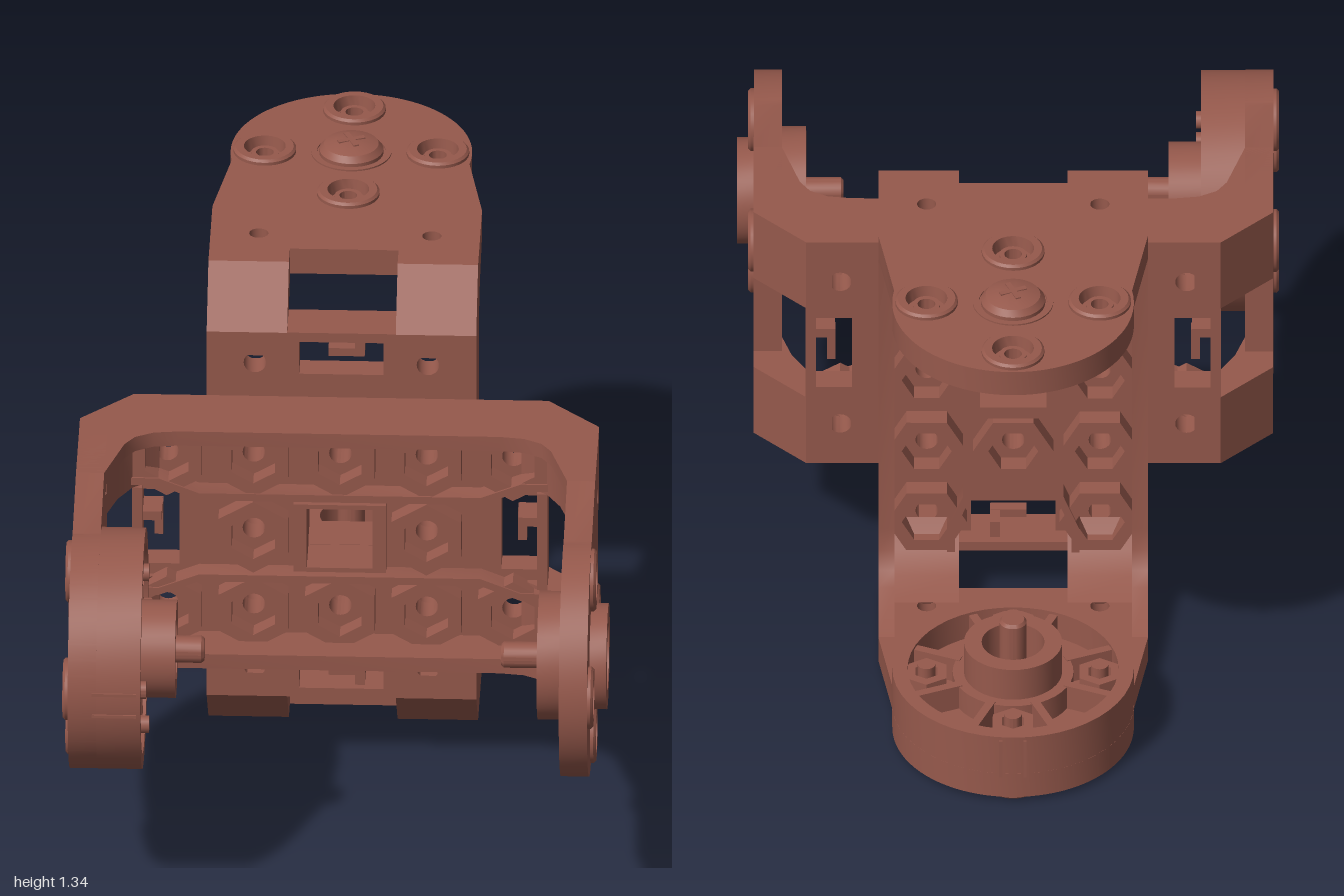
import * as THREE from 'three';
import { toCreasedNormals } from 'three/addons/utils/BufferGeometryUtils.js';

const mat = new THREE.MeshStandardMaterial({ color: 0x96594c, side: THREE.DoubleSide });
const TAU = Math.PI * 2;

function add(parent, name, geo) {
  const mesh = new THREE.Mesh(toCreasedNormals(geo, 0.5), mat);
  mesh.name = name;
  parent.add(mesh);
  return mesh;
}

const poly = (pts) => new THREE.Shape(pts.map(([x, y]) => new THREE.Vector2(x, y)));
const rect = (x0, x1, y0, y1) => poly([[x0, y0], [x1, y0], [x1, y1], [x0, y1]]);
function ngon(x, y, r, n, turn = 0) {
  return poly(Array.from({ length: n }, (_, i) => {
    const a = turn + (i / n) * TAU;
    return [x + r * Math.cos(a), y + r * Math.sin(a)];
  }));
}
const extrude = (shape, depth) => new THREE.ExtrudeGeometry(shape, { depth, bevelEnabled: false, curveSegments: 24 });

// Bracket axes: x across the span, y across the width, z along the arms.
// Profile in (x, z), extruded over the width from y0 to y1.
const alongY = (shape, y0, y1) => extrude(shape, y1 - y0).rotateX(Math.PI / 2).translate(0, y1, 0);
// Outline in (z, y), extruded over the span from x0 to x1.
const alongX = (shape, x0, x1) => extrude(shape, x1 - x0).rotateY(-Math.PI / 2).translate(x1, 0, 0);
// Turned part whose axis points outward along x, on the given side.
function turned(pts, side, x, y, z, n = 32) {
  const g = new THREE.LatheGeometry(pts.map(([r, h]) => new THREE.Vector2(r, h)), n);
  return g.rotateZ(-side * Math.PI / 2).translate(side * x, y, z);
}
const tube = (r0, r1, h0, h1) => [[r0, h0], [r1, h0], [r1, h1], [r0, h1], [r0, h0]];

const AX = 0.7;                    // distance of the pivot axis from the base
const OUT = 0.645, IN = 0.575;     // outer and inner faces of an arm
const W = 0.335;                   // half width
const P = 0.215;                   // hole pitch
const screwSpots = [[AX - P, 0], [AX + P, 0], [AX, P], [AX, -P]];

function buildBase(g) {
  // Floor with bolt holes, centre window and cable slots
  const floor = rect(-0.515, 0.515, -W, W);
  const bolts = [[-P, 0], [P, 0]];
  for (const s of [-1, 1]) for (let i = -2; i <= 2; i++) bolts.push([i * P, s * P]);
  for (const [x, y] of bolts) floor.holes.push(ngon(x, y, 0.028, 20));
  floor.holes.push(rect(-0.082, 0.082, -0.083, 0.083));
  for (const s of [-1, 1]) {
    const a = s > 0 ? 0.4 : -0.49;
    floor.holes.push(rect(a, a + 0.09, -0.105, 0.105));
  }
  add(g, 'baseFloor', extrude(floor, 0.07));

  // Hexagonal nut pockets
  for (const [x, y] of bolts) {
    const hex = ngon(x, y, 0.1, 6, Math.PI / 6);
    hex.holes.push(ngon(x, y, 0.062, 6, Math.PI / 6));
    add(g, 'nutPocket', extrude(hex, 0.055).translate(0, 0, 0.065));
  }

  // Frame around the centre window
  const frame = rect(-0.115, 0.115, -0.095, 0.095);
  frame.holes.push(rect(-0.082, 0.082, -0.083, 0.083));
  add(g, 'windowFrame', extrude(frame, 0.055).translate(0, 0, 0.065));

  for (const s of [-1, 1]) {
    // Rails beside the nut rows
    const line = [[-0.52, 0.165], [-0.45, 0.165], [-0.35, 0.125], [0.35, 0.125], [0.45, 0.165], [0.52, 0.165]];
    const rail = poly([...line.map(([x, y]) => [x, s * y]), ...line.reverse().map(([x, y]) => [x, s * (y - 0.02)])]);
    add(g, 'rail', extrude(rail, 0.06).translate(0, 0, 0.065));

    // Side rim following the U and fading into the arms
    const half = [[0.4, 0.19], [0.46, 0.198], [0.505, 0.222], [0.53, 0.26], [IN, 0.41], [OUT, 0.41], [OUT, 0.13], [0.515, 0]];
    const rim = poly([...half, ...half.map(([x, z]) => [-x, z]).reverse()]);
    add(g, 'sideRim', alongY(rim, s > 0 ? 0.295 : -W, s > 0 ? W : -0.295));

    // Chamfered corners, left open in the middle for the cable
    for (const t of [-1, 1]) {
      const corner = poly([[0.515, 0], [OUT, 0.13], [OUT, 0.2], [IN, 0.26], [0.55, 0.18], [0.515, 0.12], [0.45, 0.07], [0.45, 0]]
        .map(([x, z]) => [t * x, z]));
      add(g, 'corner', alongY(corner, s > 0 ? 0.135 : -0.3, s > 0 ? 0.3 : -0.135));
    }

    // Lip of the cable slot and its hook
    const lip = new THREE.BoxGeometry(0.026, 0.27, 0.12).translate(s * 0.503, 0, 0.06);
    add(g, 'slotLip', lip);
    add(g, 'cableHook', new THREE.BoxGeometry(0.05, 0.025, 0.08).translate(s * 0.468, 0.045, 0.06));
    add(g, 'cableHook', new THREE.BoxGeometry(0.022, 0.09, 0.03).translate(s * 0.452, 0.012, 0.035));
  }
}

function buildArm(g, side) {
  const arm = new THREE.Shape();
  const a = 1.745;
  arm.moveTo(0.198, -W);
  arm.lineTo(0.41, -W);
  arm.absarc(AX, 0, 0.3, -a, a, false);
  arm.lineTo(0.41, W);
  arm.lineTo(0.198, W);
  for (const [z, y] of screwSpots) arm.holes.push(ngon(z, y, 0.074, 28));
  for (const s of [-1, 1]) arm.holes.push(ngon(0.275, s * P, 0.024, 18));
  if (side < 0) arm.holes.push(ngon(AX, 0, 0.085, 28));
  add(g, 'arm', side > 0 ? alongX(arm, IN, OUT) : alongX(arm, -OUT, -IN));

  // Recessed screw sockets
  for (const [z, y] of screwSpots) {
    add(g, 'screwSocket', turned([[0.022, -0.069], [0.078, -0.069], [0.078, 0.008], [0.072, 0.014], [0.052, 0.014],
      [0.048, -0.02], [0.034, -0.02], [0.034, -0.004], [0.022, -0.004], [0.022, -0.069]], side, OUT, y, z));
  }
}

function buildPivot(g, hasCap) {
  // Hollow boss, pin and domed screw on the plain arm
  add(g, 'pivotBoss', turned(tube(0.115, 0.16, -0.06, 0.005), 1, IN, 0, AX, 40));
  add(g, 'pivotPin', turned([[0, -0.153], [0.026, -0.153], [0.033, -0.146], [0.033, 0.02]], 1, IN, 0, AX, 24));
  add(g, 'screwHead', turned([[0.08, -0.01], [0.08, 0.01], [0.068, 0.025], [0.04, 0.034], [0, 0.037]], 1, OUT, 0, AX));
  for (const r of [0.4, 0.4 + Math.PI / 2]) {
    add(g, 'screwCross', new THREE.BoxGeometry(0.012, 0.07, 0.014).rotateX(r).translate(OUT + 0.032, 0, AX));
  }
  if (hasCap) add(g, 'pivotCap', turned([...tube(0.085, 0.132, -0.005, 0.042)], 1, OUT, 0, AX, 40));
  else add(g, 'pivotCap', turned(tube(0.085, 0.1, -0.005, 0.004), 1, OUT, 0, AX, 40));
}

function buildCup(g) {
  // Round cup with outer wall, hub, ribs and screw posts on the other arm
  add(g, 'cupWall', turned(tube(0.262, 0.3, -0.18, -0.001), -1, OUT, 0, AX, 48));
  const floor = ngon(AX, 0, 0.27, 40);
  for (const [z, y] of screwSpots) floor.holes.push(ngon(z, y, 0.03, 16));
  floor.holes.push(ngon(AX, 0, 0.085, 28));
  add(g, 'cupFloor', alongX(floor, -0.58, -0.54));
  add(g, 'hub', turned(tube(0.078, 0.122, -0.26, -0.04), -1, OUT, 0, AX, 40));
  add(g, 'hubCollar', turned(tube(0.12, 0.15, -0.17, -0.08), -1, OUT, 0, AX, 40));
  for (let i = 0; i < 8; i++) {
    const rib = new THREE.BoxGeometry(0.085, 0.13, 0.022).translate(0, 0.205, 0);
    add(g, 'cupRib', rib.rotateX(((i + 0.5) / 8) * TAU).translate(-0.515, 0, AX));
  }
  for (const [z, y] of screwSpots) {
    add(g, 'screwPost', turned(tube(0.032, 0.058, -0.17, -0.08), -1, OUT, y, z, 6));
    add(g, 'screwTip', turned([[0, -0.192], [0.022, -0.192], [0.022, -0.06]], -1, OUT, y, z, 16));
  }
  // Thin ridges on the rim of the cup
  for (const s of [-1, 1]) {
    add(g, 'rimRidge', new THREE.BoxGeometry(0.11, 0.008, 0.012).translate(-0.53, s * 0.03, AX + 0.296));
  }
  // Centre pin carried on a narrow bridge
  add(g, 'cupPin', turned([[0.034, -0.13], [0.034, -0.322], [0.028, -0.33], [0, -0.33]], -1, OUT, 0, AX, 24));
  add(g, 'pinBridge', new THREE.BoxGeometry(0.04, 0.18, 0.025).translate(-0.5, 0, AX));
}

function bracket(name, hasCap) {
  const g = new THREE.Group();
  g.name = name;
  buildBase(g);
  buildArm(g, 1);
  buildArm(g, -1);
  buildPivot(g, hasCap);
  buildCup(g);
  g.position.set(-0.015, 0.665, 0);
  return g;
}

export function createModel() {
  const model = new THREE.Group();
  model.name = 'doubleBracket';
  const front = bracket('frontBracket', true);
  // The rear bracket is the same part, turned a half turn about the diagonal
  const rear = bracket('rearBracket', false);
  rear.quaternion.setFromAxisAngle(new THREE.Vector3(1, 1, 0).normalize(), Math.PI);
  model.add(front, rear);
  return model;
}
